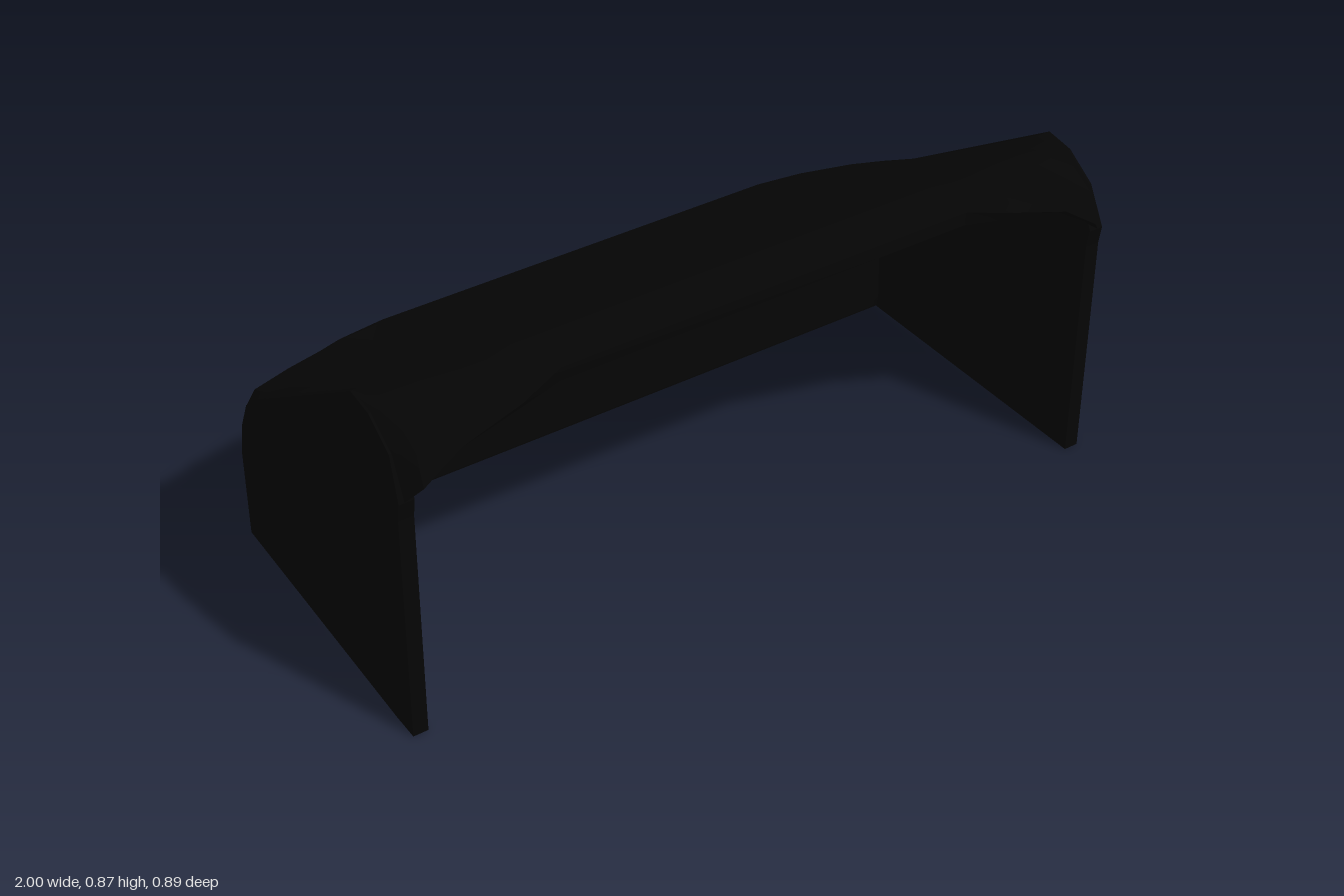
import * as THREE from 'three';
import { toCreasedNormals } from 'three/addons/utils/BufferGeometryUtils.js';

const THICK = 0.037;

// Half of the hood: [x, profile of (z, y) from front lip over the roof to the bottom of the back wall]
const HALF = [
  [0.57, [[0.4, 0.862], [0.36, 0.865], [0.29, 0.865], [0.21, 0.855], [-0.3, 0.525], [-0.42, 0.525], [-0.445, 0.512], [-0.445, 0.32], [-0.435, 0.04]]],
  [0.69, [[0.44, 0.84], [0.405, 0.865], [0.33, 0.867], [0.21, 0.855], [-0.3, 0.525], [-0.42, 0.518], [-0.445, 0.5], [-0.445, 0.32], [-0.435, 0.04]]],
  [0.85, [[0.445, 0.79], [0.42, 0.835], [0.33, 0.866], [0.21, 0.855], [-0.3, 0.525], [-0.405, 0.5], [-0.445, 0.46], [-0.445, 0.31], [-0.435, 0.04]]],
  [0.95, [[0.447, 0.72], [0.42, 0.8], [0.31, 0.861], [0.21, 0.855], [-0.3, 0.525], [-0.395, 0.482], [-0.437, 0.41], [-0.444, 0.3], [-0.435, 0.04]]],
  [0.985, [[0.42, 0.68], [0.375, 0.785], [0.29, 0.843], [0.21, 0.855], [-0.3, 0.525], [-0.37, 0.465], [-0.41, 0.38], [-0.428, 0.29], [-0.425, 0.04]]],
];

// Profile shifted inward by the wall thickness
function inset(profile) {
  return profile.map(([z, y], i) => {
    const a = profile[Math.max(i - 1, 0)];
    const b = profile[Math.min(i + 1, profile.length - 1)];
    const dz = b[0] - a[0], dy = b[1] - a[1];
    const len = Math.hypot(dz, dy);
    return [z - (dy / len) * THICK, y + (dz / len) * THICK];
  });
}

// Roof and back wall: closed rings lofted across x, with a stepped foot under the wall
function shellGeometry() {
  const columns = [
    ...HALF.map(([x, p]) => [-x, p]).reverse(),
    ...HALF,
  ];
  const foot = [[-0.414, 0.04], [-0.414, 0], [-0.403, 0]];
  const pos = [], index = [];
  const n = HALF[0][1].length * 2 + foot.length;
  columns.forEach(([x, profile], c) => {
    const ring = [...profile, ...foot, ...inset(profile).reverse()];
    const atEnd = c === 0 || c === columns.length - 1;
    // the foot ends flush with the inner face of the side plates
    ring.forEach(([z, y]) => pos.push(atEnd && y < 0.01 ? Math.sign(x) * 0.955 : x, y, z));
  });
  for (let i = 0; i < columns.length - 1; i++) {
    for (let j = 0; j < n; j++) {
      const k = (j + 1) % n;
      const a = i * n + j, b = (i + 1) * n + j, c = (i + 1) * n + k, d = i * n + k;
      index.push(a, b, d, b, c, d);
    }
  }
  const g = new THREE.BufferGeometry();
  g.setAttribute('position', new THREE.Float32BufferAttribute(pos, 3));
  g.setIndex(index);
  return toCreasedNormals(g, 0.6);
}

// Side plate, wider at the front, its outer lower edge rising toward the back
function sideGeometry(side) {
  const end = HALF[HALF.length - 1][1].slice(0, -1);
  const outline = [[0.33, 0], [0.41, 0], [0.412, 0.63], ...end, [-0.425, 0.04], [-0.413, 0]];
  const shape = new THREE.Shape(outline.map(([z, y]) => new THREE.Vector2(-z, y)));
  const g = new THREE.ExtrudeGeometry(shape, { depth: 0.04, bevelEnabled: false });
  g.rotateY(Math.PI / 2);
  g.translate(side > 0 ? 0.96 : -1, 0, 0);
  const p = g.attributes.position;
  for (let i = 0; i < p.count; i++) {
    if (Math.abs(p.getX(i)) < 0.97) continue;
    const t = THREE.MathUtils.clamp((p.getZ(i) + 0.41) / 0.82, 0, 1);
    const top = p.getY(i) > 0.7 ? 0.008 : 0;
    p.setX(i, side * (0.986 + 0.014 * t - top * t));
    if (p.getZ(i) < 0 && p.getY(i) < 0.01) p.setY(i, 0.039);
  }
  g.computeVertexNormals();
  return g;
}

export function createModel() {
  const group = new THREE.Group();
  group.name = 'hood';
  const black = new THREE.MeshStandardMaterial({ color: 0x050505, side: THREE.DoubleSide });
  black.name = 'black';

  const add = (name, geometry) => {
    const mesh = new THREE.Mesh(geometry, black);
    mesh.name = name;
    group.add(mesh);
  };

  add('roofAndBack', shellGeometry());
  add('leftSide', sideGeometry(1));
  add('rightSide', sideGeometry(-1));
  return group;
}
